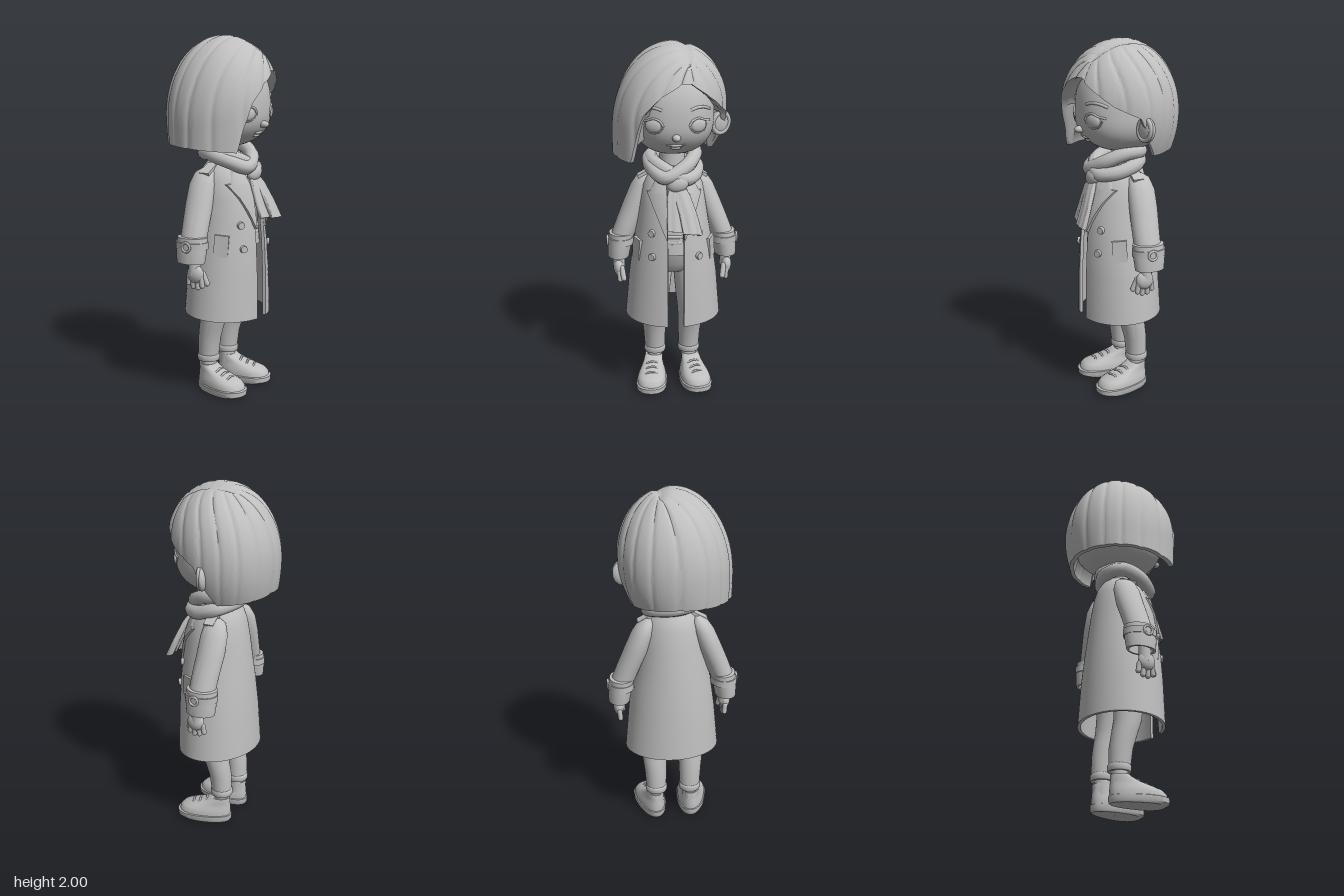
import * as THREE from 'three';
import { toCreasedNormals } from 'three/addons/utils/BufferGeometryUtils.js';

const { sin, cos, sqrt, PI, abs, min, max, atan2, asin, sign } = Math;
const clay = new THREE.MeshStandardMaterial({ color: 0xbfbfbf, side: THREE.DoubleSide });
clay.name = 'clay grey';

// Piecewise-linear lookup: rows of [key, value, value...]
function look(table, k) {
  let i = 0;
  while (i < table.length - 2 && k > table[i + 1][0]) i++;
  const a = table[i], b = table[i + 1];
  const t = min(1, max(0, (k - a[0]) / (b[0] - a[0])));
  return a.slice(1).map((v, j) => v + (b[j + 1] - v) * t);
}

// Skin over closed cross-sections
function loft(rows, crease = 0.7) {
  const n = rows[0].length, index = [];
  for (let i = 0; i < rows.length - 1; i++) for (let j = 0; j < n; j++) {
    const a = i * n + j, b = i * n + (j + 1) % n;
    index.push(a, b, b + n, a, b + n, a + n);
  }
  const g = new THREE.BufferGeometry();
  g.setAttribute('position', new THREE.Float32BufferAttribute(rows.flat(2), 3));
  g.setIndex(index);
  return toCreasedNormals(g, crease);
}
const bulge = (v, p) => sign(v) * abs(v) ** (2 / p);
const ring = (x, y, z, rx, rz = rx, n = 32, p = 2) => Array.from({ length: n }, (_, i) =>
  [x + rx * bulge(sin(i / n * 2 * PI), p), y, z + rz * bulge(cos(i / n * 2 * PI), p)]);

// Coat section by height: half width, centre z, half depth
const COAT = [[0.455, 0.27, 0.02, 0.23], [0.7, 0.248, 0.025, 0.222], [0.87, 0.225, 0.03, 0.21], [1, 0.2, 0.032, 0.197],
  [1.12, 0.182, 0.03, 0.18], [1.22, 0.165, 0.022, 0.155], [1.28, 0.135, 0.01, 0.125], [1.33, 0.08, 0, 0.08]];
const coatZ = (x, y) => { const [rx, zc, rz] = look(COAT, y); return zc + rz * sqrt(max(0, 1 - (x / rx) ** 2)); };

// Head section by height, slightly squared so the face is broad
const HP = 2.3;
const headK = y => sqrt(max(0, 1 - (y > 1.6 ? ((y - 1.6) / 0.32) ** 2.5 : ((1.6 - y) / 0.21) ** 2.5)));
const headZ = (x, y) => 0.255 * max(0, headK(y) ** HP - abs(x / 0.225) ** HP) ** (1 / HP);

// Hair by angle: radius, widest height, taper at the tips; and hem height
const rad = PI / 180;
const HAIR = [[-180, 0.312, 1.6, 0.12], [-135, 0.325, 1.57, 0.06], [-90, 0.33, 1.52, -0.01], [-45, 0.34, 1.58, 0.02],
  [-20, 0.335, 1.63, 0], [0, 0.322, 1.66, 0], [30, 0.298, 1.67, 0], [60, 0.285, 1.67, 0.1], [90, 0.298, 1.65, 0.2], [135, 0.312, 1.62, 0.18], [180, 0.312, 1.6, 0.12]];
const HEM = [[-180, 1.425], [-90, 1.405], [-46, 1.39], [-41, 1.5], [-32, 1.65], [-18, 1.75], [0, 1.81], [15, 1.81],
  [35, 1.75], [58, 1.67], [85, 1.61], [98, 1.47], [110, 1.39], [180, 1.425]];

function hairPoint(th, a) {
  const t = sin(min(a, PI / 2));
  const ux = 0.24 * (1 - t) + sin(th) * t;
  const uz = (0.2 + 0.46 * cos(th)) * (1 - t) + cos(th) * t + 0.45 * t * (1 - t) * sin(th) ** 2;
  const [R, eq, taper] = look(HAIR, atan2(ux, uz) / rad);
  let y = eq + (2 - eq) * sqrt(max(0, 1 - ux * ux - uz * uz)) - max(0, a - PI / 2) * 0.3;
  y -= 0.016 * Math.exp(-((t / 0.1) ** 2));
  const groove = (1 - abs(sin(8 * (th + 0.08 * sin(3 * th))))) ** 2.5 * min(1, t * 2.5);
  const k = R * (1 - 0.026 * groove) * (1 - taper * (max(0, eq - y) / 0.24) ** 2);
  return [ux * k, y - 0.006 * groove, uz * k];
}

function hairGeometry() {
  const N = 224, M = 30, rows = Array.from({ length: M + 4 }, () => []);
  for (let j = 0; j < N; j++) {
    const th = (j / N) * 2 * PI - PI, hem = look(HEM, th / rad)[0];
    let lo = 0, hi = PI / 2 + 1.2;
    for (let s = 0; s < 24; s++) { const m = (lo + hi) / 2; if (hairPoint(th, m)[1] > hem) lo = m; else hi = m; }
    const [x, y, z] = hairPoint(th, lo), lift = hem > 1.6 ? 0.15 : 1;
    [[0.6, 0.12], [0.85, 0.08], [0.92, 0]].forEach(([k, up], i) => rows[i].push([x * k, y + up * lift, z * k]));
    for (let i = 0; i <= M; i++) rows[i + 3].push(hairPoint(th, lo * (1 - i / M)));
  }
  return loft(rows, 0.9);
}

// Open-fronted coat shell with thickness
function coatGeometry() {
  const N = 56, rows = [];
  const section = (y, outer, gap = 0.045) => {
    const [rx, zc, rz] = look(COAT, y), out = [], inn = [];
    for (let i = 0; i <= N; i++) {
      const g = asin(gap / rx), th = g + (2 * PI - 2 * g) * i / N;
      const p = d => [(rx - d) * sin(th), y - (y < 0.5 ? 0.012 * cos(th) : 0), zc + (rz - d) * cos(th)];
      out.push(p(outer)); inn.unshift(p(0.018));
    }
    return [...out, ...inn];
  };
  rows.push(section(0.455, 0.018));
  COAT.forEach(([y]) => rows.push(section(y, 0)));
  return loft(rows);
}

export function createModel() {
  const model = new THREE.Group(), body = new THREE.Group();
  body.name = 'figure';
  model.add(body);
  const add = (name, geo, pos = [0, 0, 0], rot = [0, 0, 0], scale = [1, 1, 1]) => {
    const m = new THREE.Mesh(geo, clay);
    m.name = name;
    m.position.set(...pos); m.rotation.set(...rot); m.scale.set(...scale);
    body.add(m);
  };
  const tube = (name, pts, r, closed = false, seg = 40) => add(name, new THREE.TubeGeometry(
    new THREE.CatmullRomCurve3(pts.map(p => new THREE.Vector3(...p)), closed), seg, r, 10, closed));
  const ball = (name, pos, scale, rot) => add(name, new THREE.SphereGeometry(1, 28, 20), pos, rot, scale);
  const faceTube = (name, pts, r, lift) => tube(name, pts.map(([x, y]) => [x, y, headZ(x, y) + lift]), r, false, 20);

  // Head and face
  const headRows = [];
  for (let i = 0; i <= 36; i++) {
    const y = 1.655 - 0.265 * cos(i / 36 * PI), k = headK(y);
    headRows.push(ring(0, y, 0, 0.225 * k, 0.255 * k, 64, HP));
  }
  add('head', loft(headRows, 1.2));
  add('neck', new THREE.CylinderGeometry(0.065, 0.075, 0.2, 24), [0, 1.36, -0.01]);
  ball('nose', [0, 1.524, headZ(0, 1.524) + 0.006], [0.023, 0.02, 0.03]);
  ball('upperLip', [0, 1.478, headZ(0, 1.478) - 0.003], [0.036, 0.009, 0.012]);
  ball('lowerLip', [0, 1.462, headZ(0, 1.462) - 0.003], [0.028, 0.01, 0.013]);
  faceTube('mouthLine', [[-0.05, 1.484], [-0.025, 1.474], [0, 1.472], [0.025, 1.474], [0.05, 1.484]], 0.004, 0.002);
  add('hair', hairGeometry());

  // Torso, belt and coat
  add('shirt', loft([0.85, 0.95, 1.1, 1.2, 1.28, 1.33].map(y => {
    const [rx, zc, rz] = look(COAT, y);
    return ring(0, y, zc - 0.01, rx * 0.85, rz * 0.85);
  })));
  add('hips', loft([[0.7, 0.02, 0.02], [0.72, 0.1, 0.08], [0.78, 0.16, 0.125], [0.93, 0.165, 0.15], [0.96, 0.16, 0.15]]
    .map(([y, rx, rz]) => ring(0, y, 0.025, rx, rz))));
  for (const y of [0.92, 0.955]) tube('belt', ring(0, y, 0.025, 0.165, 0.16, 16), 0.012, true, 60);
  add('coat', coatGeometry());

  for (const s of [1, -1]) {
    const side = s > 0 ? 'left' : 'right';

    // Eyes, lids, brows, ears
    ball(side + 'Eye', [s * 0.118, 1.585, headZ(0.118, 1.585) - 0.007], [0.046, 0.037, 0.017], [0, s * 0.42, 0]);
    faceTube(side + 'UpperLid', [[s * 0.068, 1.585], [s * 0.085, 1.613], [s * 0.12, 1.625], [s * 0.15, 1.612], [s * 0.18, 1.604]], 0.006, 0.002);
    faceTube(side + 'LowerLid', [[s * 0.07, 1.582], [s * 0.09, 1.555], [s * 0.12, 1.546], [s * 0.15, 1.558], [s * 0.165, 1.59]], 0.004, 0);
    faceTube(side + 'Brow', [[s * 0.075, 1.67], [s * 0.11, 1.68], [s * 0.15, 1.678], [s * 0.182, 1.662]], 0.008, -0.001);
    const ex = s > 0 ? 0.265 : -0.225;
    ball(side + 'Ear', [ex, 1.545, -0.018], [0.062, 0.07, 0.026], [0, s * 0.3, -s * 0.25]);
    add(side + 'EarRim', new THREE.TorusGeometry(0.048, 0.012, 10, 32), [ex + s * 0.004, 1.547, -0.006], [0, s * 0.3, -s * 0.25], [0.98, 1.18, 1]);

    // Lapel following the coat front
    const lapel = [[0.955, 0.047, 0.052], [1.05, 0.046, 0.09], [1.13, 0.046, 0.122], [1.2, 0.046, 0.15], [1.205, 0.046, 0.135], [1.27, 0.046, 0.1]];
    add(side + 'Lapel', loft(lapel.map(([y, a, b]) => {
      const front = [], back = [];
      for (let i = 0; i <= 8; i++) {
        const x = a + (b - a) * i / 8, z = coatZ(x, y);
        front.push([s * x, y, z + 0.016]); back.unshift([s * x, y, z - 0.004]);
      }
      return [...front, ...back];
    })));

    // Buttons, pocket flap and shoulder strap
    for (const y of [0.98, 0.85])
      add(side + 'Button', new THREE.CylinderGeometry(0.019, 0.022, 0.02, 20), [s * 0.13, y, coatZ(0.13, y) + 0.004], [PI / 2, 0, -s * 0.6]);
    add(side + 'PocketFlap', new THREE.BoxGeometry(0.08, 0.12, 0.018), [s * 0.205, 0.87, coatZ(0.205, 0.87) - 0.008], [-0.05, s * 1.14, s * 0.12]);
    add(side + 'Epaulette', new THREE.BoxGeometry(0.1, 0.016, 0.06), [s * 0.148, 1.278, -0.01], [0, 0, -s * 0.5]);

    // Sleeve, cuff, strap and buckle
    add(side + 'Sleeve', loft([[0.302, 0.86, 0.06, 0.07, -0.02], [0.278, 0.92, 0.067, 0.075, -0.02], [0.243, 1.01, 0.068, 0.077, -0.025], [0.205, 1.1, 0.07, 0.079, -0.032],
      [0.17, 1.2, 0.062, 0.076, -0.035], [0.148, 1.26, 0.044, 0.058, -0.032], [0.135, 1.285, 0.015, 0.02, -0.03]]
      .map(([x, y, rx, rz, z]) => ring(s * x, y, z, rx, rz)), 1));
    add(side + 'Cuff', loft([[0.302, 0.85, 0.05, 0.06], [0.306, 0.785, 0.052, 0.068], [0.306, 0.785, 0.06, 0.083], [0.3, 0.85, 0.067, 0.09], [0.288, 0.925, 0.07, 0.088], [0.285, 0.928, 0.055, 0.07]]
      .map(([x, y, rx, rz]) => ring(s * x, y, -0.022, rx, rz))));
    add(side + 'CuffStrap', loft([[0.862, 0.06], [0.862, 0.075], [0.9, 0.075], [0.9, 0.06]]
      .map(([y, r]) => ring(s * 0.294, y, -0.022, r, r + 0.019))));
    add(side + 'Buckle', new THREE.TorusGeometry(0.025, 0.007, 8, 20), [s * 0.368, 0.88, -0.012], [0, PI / 2, 0]);

    // Hand with fingers along the thigh
    add(side + 'Wrist', new THREE.CylinderGeometry(0.032, 0.034, 0.1, 16), [s * 0.305, 0.77, 0]);
    ball(side + 'Palm', [s * 0.308, 0.725, 0.008], [0.03, 0.052, 0.05]);
    for (let i = 0; i < 4; i++) {
      const z = -0.036 + i * 0.027, low = [0.652, 0.635, 0.632, 0.645][i];
      add(side + 'Finger', new THREE.CapsuleGeometry(0.0145, 0.725 - low - 0.03, 6, 12), [s * 0.304, (0.725 + low) / 2, z], [-(i - 1.5) * 0.08, 0, -s * 0.1]);
    }
    add(side + 'Thumb', new THREE.CapsuleGeometry(0.0155, 0.06, 6, 12), [s * 0.285, 0.7, 0.055], [-0.35, 0, -s * 0.15]);

    // Leg, trouser cuff and ankle
    add(side + 'Leg', loft([[0.1, 0.19, -0.044, 0.058], [0.102, 0.3, -0.036, 0.064], [0.106, 0.38, -0.018, 0.07], [0.106, 0.46, 0.002, 0.076],
      [0.097, 0.6, 0.015, 0.083], [0.088, 0.75, 0.025, 0.088], [0.08, 0.9, 0.028, 0.085]].map(([x, y, z, r]) => ring(s * x, y, z, r)), 1));
    add(side + 'TrouserCuff', loft([[0.172, 0.045], [0.17, 0.06], [0.18, 0.064], [0.203, 0.063], [0.212, 0.055]]
      .map(([y, r]) => ring(s * 0.1, y, -0.044, r))));
    add(side + 'Ankle', new THREE.CylinderGeometry(0.042, 0.045, 0.1, 20), [s * 0.1, 0.14, -0.042]);

    // Shoe, turned slightly outwards: rows of [height, heel z, toe z, half width]
    const shoe = new THREE.Group();
    shoe.name = side + 'Shoe';
    shoe.position.set(s * 0.107, 0, -0.04);
    shoe.rotation.y = s * 0.16;
    body.add(shoe);
    const put = (name, geo) => { const m = new THREE.Mesh(geo, clay); m.name = name; shoe.add(m); };
    const layer = ([y, b, f, w]) => ring(0, y, (b + f) / 2, w, (f - b) / 2, 40, 2.3).map(([x, yy, z]) =>
      [x * (1.02 + 0.2 * (2 * z - b - f) / (f - b)), yy, z]);
    put('sole', loft([[0, 0.08, 0.1, 0.002], [0, -0.057, 0.24, 0.076], [0.012, -0.065, 0.26, 0.084], [0.04, -0.065, 0.262, 0.085], [0.045, -0.05, 0.245, 0.076]].map(layer)));
    put('upper', loft([[0.035, -0.058, 0.25, 0.079], [0.06, -0.06, 0.247, 0.079], [0.08, -0.059, 0.226, 0.073], [0.098, -0.058, 0.175, 0.063],
      [0.118, -0.056, 0.11, 0.054], [0.14, -0.056, 0.06, 0.05], [0.152, -0.054, 0.046, 0.046], [0.15, -0.045, 0.036, 0.036]].map(layer), 1));
    for (let i = 0; i < 3; i++) {
      const z = 0.085 + i * 0.04, y = 0.13 - i * 0.014;
      put('lace', new THREE.TubeGeometry(new THREE.CatmullRomCurve3([[-0.045, -0.022, 0], [-0.02, 0, 0.004], [0.02, 0, -0.004], [0.045, -0.022, 0]]
        .map(p => new THREE.Vector3(p[0], y + p[1], z + p[2]))), 14, 0.006, 8));
    }

    // Scarf wraps crossing at the front
    const d = s > 0 ? 0 : 0.035;
    tube('scarfWrap', [[-0.122, 1.36, 0.02], [-0.07, 1.335, 0.125], [0.05, 1.28, 0.167], [0.118, 1.29, 0.09], [0.12, 1.33, -0.03], [0, 1.35, -0.093], [-0.1, 1.36, -0.065]]
      .map(([x, y, z]) => [s * x, y + (z < 0.1 ? d : d * 0.3), z + d * 0.2]), 0.04, true, 72);
  }

  // Scarf knot and hanging tails: rows of [y, x, z, half width]
  ball('scarfKnot', [0.015, 1.255, 0.185], [0.06, 0.045, 0.035], [0, 0, 0.4]);
  const tail = rows => loft(rows.map(([y, x, z, w], i) => ring(x, y, z, w, i === 0 || i === rows.length - 1 ? 0.006 : 0.017, 36, 3)
    .map(([px, py, pz]) => [px, py - 0.08 * (px - x), pz + 0.003 * cos((px - x) * 130)])), 0.9);
  add('scarfTailFront', tail([[1.0, 0.085, 0.283, 0.05], [1.004, 0.085, 0.282, 0.053], [1.1, 0.065, 0.245, 0.05], [1.2, 0.035, 0.205, 0.044], [1.26, 0.015, 0.18, 0.03]]));
  add('scarfTailBack', tail([[1.01, -0.002, 0.262, 0.046], [1.014, -0.002, 0.26, 0.049], [1.1, -0.004, 0.232, 0.046], [1.2, -0.003, 0.2, 0.042], [1.26, 0.01, 0.178, 0.03]]));

  // The figure looks along +x
  body.rotation.y = PI / 2;
  return model;
}
